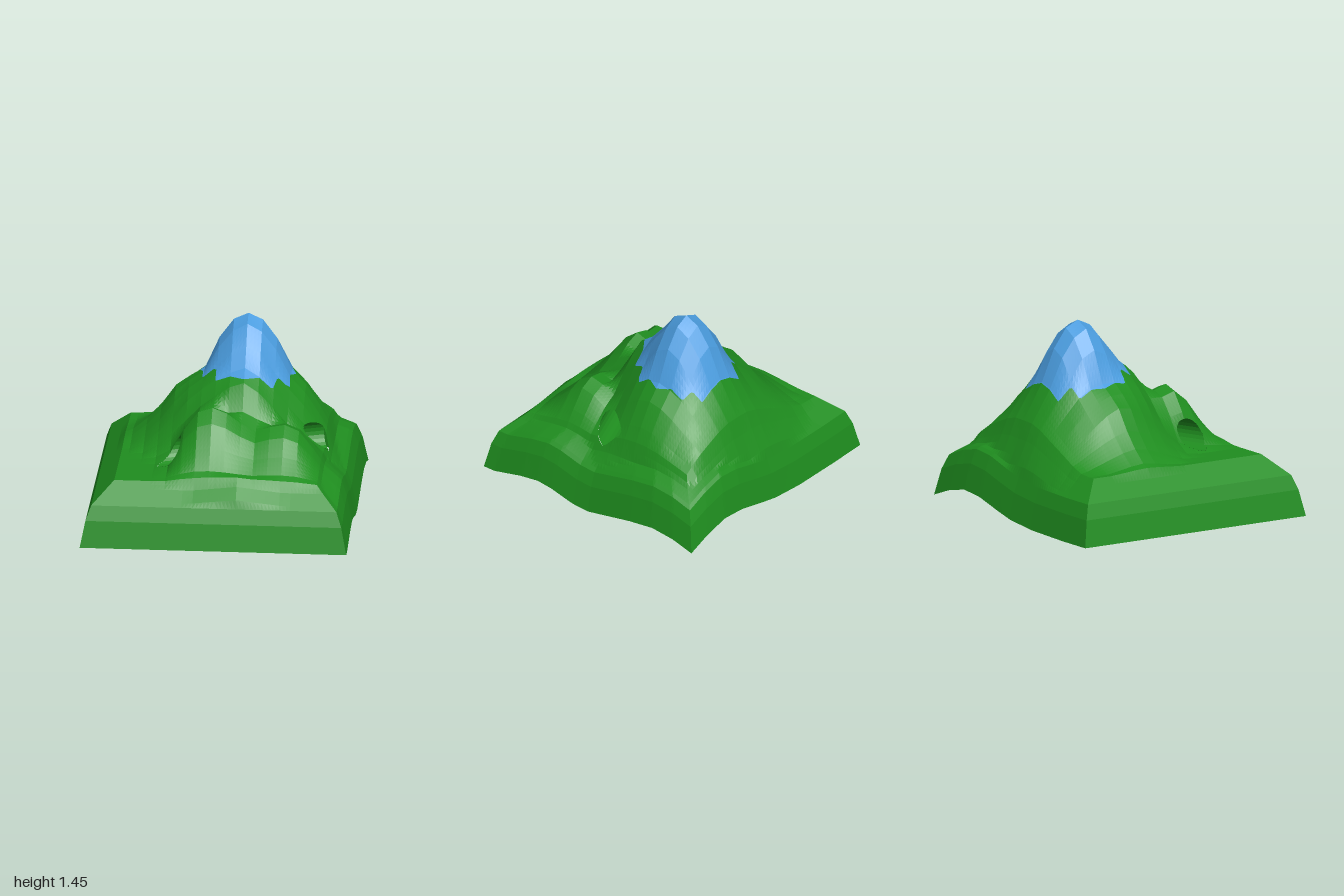
import * as THREE from 'three';

const green = new THREE.MeshStandardMaterial({ color: 0x1f8e1f, side: THREE.DoubleSide, flatShading: true });
green.name = 'grass green';
const blue = new THREE.MeshStandardMaterial({ color: 0x4a9cde, side: THREE.DoubleSide, flatShading: true });
blue.name = 'snow blue';

const STEP = 1.84 / 17, SPLIT = 4;
const PEAK = { x: 0.162, z: -0.271 };

// piecewise linear lookup through [x, y] pairs
function lerpAt(points, x) {
  if (x <= points[0][0]) return points[0][1];
  for (let i = 1; i < points.length; i++) {
    const [x0, y0] = points[i - 1], [x1, y1] = points[i];
    if (x <= x1) return y0 + (y1 - y0) * (x - x0) / (x1 - x0);
  }
  return points[points.length - 1][1];
}

// main peak: heights at growing radius for eight directions, from +x turning to +z
const RADII = [0, 0.11, 0.22, 0.33, 0.44, 0.55, 0.66, 0.8, 0.96];
const SPOKES = [
  [1.45, 1.4, 1.25, 1.0, 0.89, 0.71, 0.5, 0.4, 0.3],
  [1.45, 1.4, 1.25, 1.0, 0.86, 0.69, 0.56, 0.46, 0.4],
  [1.45, 1.4, 1.25, 1.12, 1.04, 0.84, 0.74, 0.64, 0.5],
  [1.45, 1.4, 1.25, 1.06, 0.97, 0.84, 0.66, 0.5, 0.4],
  [1.45, 1.4, 1.25, 1.0, 0.94, 0.86, 0.7, 0.55, 0.44],
  [1.45, 1.4, 1.25, 1.0, 0.84, 0.71, 0.6, 0.5, 0.42],
  [1.45, 1.4, 1.25, 1.0, 0.82, 0.64, 0.5, 0.4, 0.3],
  [1.45, 1.4, 1.25, 1.0, 0.87, 0.74, 0.63, 0.53, 0.4],
].map(row => row.map((h, i) => [RADII[i], h]));

function peakHeight(x, z) {
  const dx = x - PEAK.x, dz = z - PEAK.z;
  const a = ((Math.atan2(dz, dx) / (Math.PI / 4)) + 8) % 8;
  const k = Math.floor(a), f = a - k, d = Math.hypot(dx, dz);
  return lerpAt(SPOKES[k % 8], d) * (1 - f) + lerpAt(SPOKES[(k + 1) % 8], d) * f;
}

// lower ridge along the front: crest line and its cross-section
const CREST = [[-0.42, 0.46], [-0.38, 0.5], [-0.27, 0.74], [-0.17, 0.88], [-0.06, 0.92], [0.05, 0.88], [0.16, 0.8],
  [0.27, 0.74], [0.38, 0.78], [0.49, 0.8], [0.6, 0.75], [0.7, 0.62], [0.81, 0.46]];
const SECTION = [[-0.06, 0], [0.05, 0.4], [0.16, 0.7], [0.27, 0.92], [0.38, 1], [0.49, 0.8], [0.6, 0.45], [0.7, 0.16], [0.81, 0]];
const ridgeHeight = (x, z) => 0.46 + (lerpAt(CREST, x) - 0.46) * lerpAt(SECTION, z);

// bevelled square base with a rolling edge on the +x and back sides
const BEVEL = [[0.76, 0.46], [0.92, 0.31], [0.96, 0.2], [1, 0]];
const SIDE_WAVE = [[-1, 0.05], [-0.82, 0.1], [-0.62, 0.12], [-0.4, 0.09], [0, 0.01], [0.15, 0.02], [0.35, 0.07], [0.48, 0.085], [0.65, 0.06], [0.9, 0]];
const BACK_WAVE = [[-0.7, 0], [-0.28, 0.01], [0, 0.04], [0.17, 0.08], [0.4, 0.14], [0.6, 0.16], [0.8, 0.12], [1, 0.05]];
function baseHeight(x, z) {
  const m = Math.max(Math.abs(x), Math.abs(z), 1e-6);
  let wave = 0;
  if (x >= m - 1e-9) wave = lerpAt(SIDE_WAVE, z / m);
  else if (-z >= m - 1e-9) wave = lerpAt(BACK_WAVE, x / m);
  return lerpAt(BEVEL, m) + wave * THREE.MathUtils.clamp((m - 0.58) / 0.32, 0, 1);
}

// the hills are sampled on a coarse grid, which gives the blocky facets
const cache = new Map();
function node(i, j) {
  const key = i * 100 + j, x = -0.92 + i * STEP, z = -0.92 + j * STEP;
  if (!cache.has(key)) cache.set(key, Math.max(peakHeight(x, z), ridgeHeight(x, z)));
  return cache.get(key);
}
function terrain(x, z) {
  const base = baseHeight(x, z), m = Math.max(Math.abs(x), Math.abs(z));
  if (m > 0.915) return base;
  const u = (x + 0.92) / STEP, v = (z + 0.92) / STEP;
  const i = Math.floor(u), j = Math.floor(v), f = u - i, g = v - j;
  const hill = (node(i, j) * (1 - f) + node(i + 1, j) * f) * (1 - g) + (node(i, j + 1) * (1 - f) + node(i + 1, j + 1) * f) * g;
  return Math.max(base, hill - Math.max(0, m - 0.76) * 0.95);
}

// tunnel axis, running through the hill from the left mouth to the right one
const START = new THREE.Vector3(-0.5, 0.58, 0.47), END = new THREE.Vector3(0.78, 0.585, -0.02), RADIUS = 0.112;
const AXIS = END.clone().sub(START), LENGTH = AXIS.length();
AXIS.normalize();
const ACROSS = new THREE.Vector3(-AXIS.z, 0, AXIS.x).normalize();
function outsideTunnel(p) {
  const d = p.clone().sub(START), t = d.dot(AXIS);
  return Math.max(Math.hypot(d.dot(ACROSS), d.y) - RADIUS, -t, t - LENGTH);
}

// jagged outline of the snow, as x, z pairs
const SNOW = [[-0.06, -0.6], [0.38, -0.6], [0.4, -0.52], [0.48, -0.49], [0.48, -0.38], [0.52, -0.27], [0.48, -0.18], [0.49, -0.06],
  [0.4, -0.05], [0.37, 0.06], [0.27, 0.06], [0.16, 0.135], [0.05, 0.08], [-0.06, 0.06], [-0.06, -0.05], [-0.17, -0.06],
  [-0.17, -0.17], [-0.2, -0.27], [-0.17, -0.36], [-0.17, -0.48], [-0.08, -0.5]];
// distance to the outline, positive on the snow
function snowDepth(p) {
  let inside = false, best = 9;
  SNOW.forEach(([x0, z0], i) => {
    const [x1, z1] = SNOW[(i + 1) % SNOW.length], ex = x1 - x0, ez = z1 - z0;
    if ((z0 > p.z) !== (z1 > p.z) && p.x < x0 + ex * (p.z - z0) / ez) inside = !inside;
    const s = THREE.MathUtils.clamp(((p.x - x0) * ex + (p.z - z0) * ez) / (ex * ex + ez * ez), 0, 1);
    best = Math.min(best, Math.hypot(p.x - x0 - s * ex, p.z - z0 - s * ez));
  });
  return inside ? best : -best;
}

// trims triangles to the side where the rule is positive
function clip(points, rule) {
  const out = [];
  for (let i = 0; i < points.length; i += 3) {
    const tri = points.slice(i, i + 3), side = tri.map(rule), poly = [];
    for (let k = 0; k < 3; k++) {
      const n = (k + 1) % 3;
      if (side[k] >= 0) poly.push(tri[k]);
      if ((side[k] >= 0) !== (side[n] >= 0)) poly.push(tri[k].clone().lerp(tri[n], side[k] / (side[k] - side[n])));
    }
    for (let k = 2; k < poly.length; k++) out.push(poly[0], poly[k - 1], poly[k]);
  }
  return out;
}

// turns a grid of points into triangles; the diagonal follows the mitred corners
function triangles(grid) {
  const out = [];
  for (let i = 0; i + 1 < grid.length; i++) {
    for (let j = 0; j + 1 < grid[i].length; j++) {
      const a = grid[i][j], b = grid[i][j + 1], c = grid[i + 1][j], d = grid[i + 1][j + 1];
      if ((a.x + d.x) * (a.z + d.z) >= 0) out.push(a, b, d, a, d, c);
      else out.push(a, b, c, b, d, c);
    }
  }
  return out;
}
function meshFrom(points, material, name) {
  const geometry = new THREE.BufferGeometry().setFromPoints(points);
  geometry.computeVertexNormals();
  const mesh = new THREE.Mesh(geometry, material);
  mesh.name = name;
  return mesh;
}

export function createModel() {
  const group = new THREE.Group();
  group.name = 'mountain';

  // land surface, with openings at the tunnel mouths
  const marks = [-1, -0.96];
  for (let i = 0; i <= 17; i++) marks.push(-0.92 + i * STEP);
  marks.push(0.96, 1);
  const lines = [1];
  for (let i = 0; i + 1 < marks.length; i++) {
    for (let k = 0; k < SPLIT; k++) lines.push(marks[i] + (marks[i + 1] - marks[i]) * k / SPLIT);
  }
  lines.push(-0.76, 0.76);
  lines.sort((a, b) => a - b);
  const land = clip(triangles(lines.map(x => lines.map(z => new THREE.Vector3(x, terrain(x, z), z)))), outsideTunnel);

  // tunnel wall, kept only where it lies under the land
  const rings = [];
  for (let i = 0; i <= 80; i++) {
    const ring = [];
    for (let k = 0; k <= 24; k++) {
      const a = k / 24 * Math.PI * 2;
      const p = START.clone().addScaledVector(AXIS, LENGTH * i / 80).addScaledVector(ACROSS, Math.cos(a) * RADIUS);
      p.y += Math.sin(a) * RADIUS;
      ring.push(p);
    }
    rings.push(ring);
  }
  const bore = clip(triangles(rings), p => terrain(p.x, p.z) - p.y);

  group.add(
    meshFrom(clip(land, p => -snowDepth(p)), green, 'grassSlopes'),
    meshFrom(clip(land, snowDepth), blue, 'snowCap'),
    meshFrom(bore, green, 'tunnel'),
  );
  return group;
}
